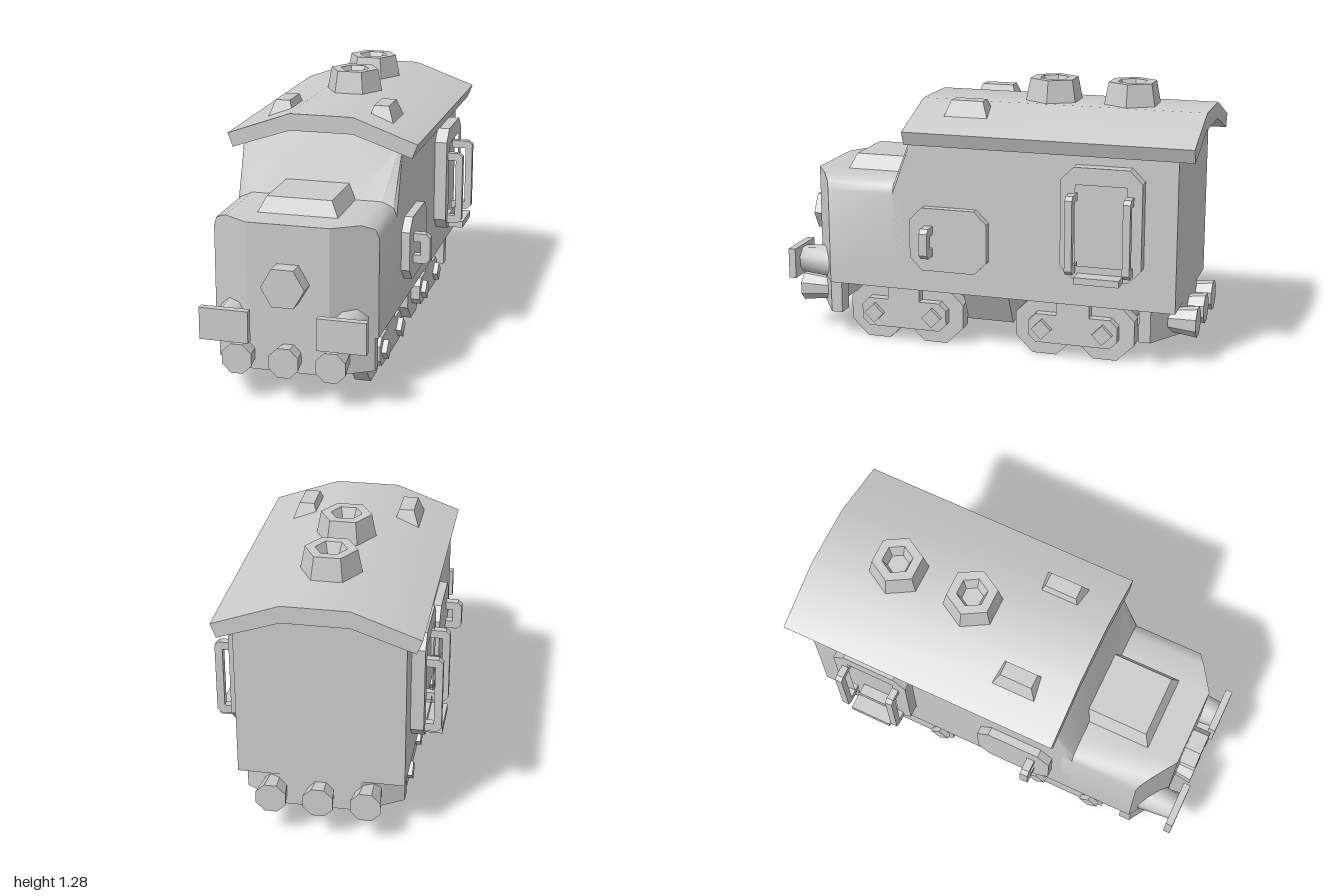
import * as THREE from 'three';
import { toCreasedNormals } from 'three/addons/utils/BufferGeometryUtils.js';

const grey = new THREE.MeshStandardMaterial({ color: 0xcccccc });
const greyDouble = new THREE.MeshStandardMaterial({ color: 0xcccccc, side: THREE.DoubleSide });

export function createModel() {
  const model = new THREE.Group();

  const add = (name, geo, x = 0, y = 0, z = 0, crease = 0.3, mat = grey) => {
    const mesh = new THREE.Mesh(toCreasedNormals(geo, crease), mat);
    mesh.name = name;
    mesh.position.set(x, y, z);
    model.add(mesh);
    return mesh;
  };
  const shapeOf = (pts) => new THREE.Shape(pts.map(([a, b]) => new THREE.Vector2(a, b)));
  const extrude = (shape, depth) =>
    new THREE.ExtrudeGeometry(shape, { depth, bevelEnabled: false, curveSegments: 10 });
  // Outline in (x, y), pushed from z0 to z1
  const alongZ = (pts, z0, z1) => extrude(shapeOf(pts), z1 - z0).translate(0, 0, z0);
  // Outline in (z, y), pushed along x on the side s
  const alongX = (pts, x0, x1, s, hole) => {
    const flip = (list) => list.map(([z, y]) => [-z, y]);
    const shape = shapeOf(flip(pts));
    if (hole) shape.holes.push(shapeOf(flip(hole)));
    return extrude(shape, x1 - x0).rotateY(Math.PI / 2).translate(s > 0 ? x0 : -x1, 0, 0);
  };
  // Rectangle with cut corners
  const cutRect = (a0, a1, b0, b1, c) => [
    [a0 + c, b0], [a1 - c, b0], [a1, b0 + c], [a1, b1 - c],
    [a1 - c, b1], [a0 + c, b1], [a0, b1 - c], [a0, b0 + c]];
  const mirrorX = (half) => [...half, ...half.map(([x, y]) => [-x, y]).reverse()];
  // Box whose upper face differs from its lower: [x0, x1, z0, z1] each
  const frustum = (low, high, y0, y1) => {
    const geo = new THREE.BoxGeometry(1, 1, 1);
    const p = geo.attributes.position;
    for (let i = 0; i < p.count; i++) {
      const r = p.getY(i) > 0 ? high : low;
      p.setXYZ(i, r[p.getX(i) > 0 ? 1 : 0], p.getY(i) > 0 ? y1 : y0, r[p.getZ(i) > 0 ? 3 : 2]);
    }
    return geo;
  };
  // Drum along z
  const drumZ = (rFront, rBack, length, sides) =>
    new THREE.CylinderGeometry(rFront, rBack, length, sides)
      .rotateY(Math.PI / sides).rotateX(Math.PI / 2);

  // Cab
  add('cabLower', new THREE.BoxGeometry(0.76, 0.465, 1.37), 0, 0.5125, -0.235);
  add('cabUpper', alongZ(mirrorX([[0.38, 0.74], [0.38, 1.01], [0.36, 1.03], [0.15, 1.1]]), -0.92, 0.36));

  // Sloped cab front, blending the hood section into the cab section
  const lower = mirrorX([[0.38, 0.745], [0.365, 0.785], [0.31, 0.81], [0.15, 0.81]]);
  const upper = mirrorX([[0.38, 0.99], [0.377, 1.01], [0.36, 1.03], [0.15, 1.1]]);
  const verts = [], index = [];
  lower.forEach(([x, y], i) => verts.push(x, y, 0.45, upper[i][0], upper[i][1], 0.36));
  for (let i = 0; i < lower.length - 1; i++) {
    const a = i * 2;
    index.push(a, a + 1, a + 2, a + 1, a + 3, a + 2);
  }
  // Side cheeks closing the slope
  for (const [a, s] of [[0, 1], [14, -1]]) {
    verts.push(s * 0.38, 0.74, 0.36);
    const c = verts.length / 3 - 1;
    index.push(...(s > 0 ? [a, c, a + 1] : [a, a + 1, c]));
  }
  const slope = new THREE.BufferGeometry();
  slope.setAttribute('position', new THREE.Float32BufferAttribute(verts, 3));
  slope.setIndex(index);
  add('cabFrontSlope', slope, 0, 0, 0, 0.3, greyDouble);

  // Roof
  add('roof', alongZ([
    [0.43, 1.0], [0.455, 1.065], [0.15, 1.175], [-0.15, 1.175], [-0.455, 1.065],
    [-0.43, 1.0], [-0.15, 1.095], [0.15, 1.095]], -1, 0.37), 0, 0, 0, 0.5);

  // Hood: straight middle and two swept-back cheeks with rounded shoulders
  add('hoodCentre', new THREE.BoxGeometry(0.38, 0.53, 0.505), 0, 0.545, 0.6525);
  for (const s of [1, -1]) {
    const cheek = alongZ([
      [0.19, 0.28], [0.38, 0.28], [0.38, 0.745], [0.365, 0.785], [0.31, 0.81], [0.19, 0.81],
    ].map(([x, y]) => [x * s, y]), 0.4, 0.905);
    const p = cheek.attributes.position;
    for (let i = 0; i < p.count; i++)
      if (p.getZ(i) > 0.5) p.setZ(i, 0.905 - (Math.abs(p.getX(i)) - 0.19) * 0.66);
    add('hoodCheek', cheek, 0, 0, 0, 0.85);
  }
  add('hoodHatch', frustum([-0.19, 0.19, 0.4, 0.755], [-0.15, 0.15, 0.4, 0.72], 0.8, 0.88));
  add('headlamp', drumZ(0.1, 0.1, 0.1, 6), 0, 0.545, 0.935);

  // Chimneys
  const chimneyProfile = [[0.142, 1.16], [0.118, 1.28], [0.072, 1.28], [0.05, 1.225], [0, 1.225]]
    .map(([r, y]) => new THREE.Vector2(r, y));
  for (const z of [-0.24, -0.62])
    add('chimney', new THREE.LatheGeometry(chimneyProfile, 6).rotateY(Math.PI / 6), 0, 0, z);

  // Bumper beams and marker lamps at both ends
  const beamHalf = [[0.365, 0.73], [0.365, 0.785], [0.18, 0.9]];
  const beamInner = [[-0.28, 0.73], [-0.13, 0.8], [0.13, 0.8], [0.28, 0.73]];
  for (const e of [1, -1]) {
    const reach = e > 0 ? 0 : 0.02;
    const outline = [...mirrorX(beamHalf), ...beamInner].map(([x, z]) => [x, -e * (z + reach)]);
    add('bumperBeam', extrude(shapeOf(outline), 0.155).rotateX(-Math.PI / 2), 0, 0.125, 0);
    for (const x of [-0.215, 0, 0.215]) {
      const lamp = add('markerLamp', drumZ(0.074, 0.055, 0.14, 8), x, 0.2, e * (0.915 + reach * 0.75));
      if (e < 0) lamp.rotation.y = Math.PI;
    }
  }

  // Tank between the bogies
  add('underTank', frustum([-0.28, 0.28, -0.12, 0.105], [-0.365, 0.365, -0.12, 0.105], 0.13, 0.29));

  // Parts on both sides
  for (const s of [1, -1]) {
    const vx = (a, b) => (s > 0 ? [a, b] : [-b, -a]);
    add('roofVent', frustum([...vx(0.175, 0.31), -0.005, 0.22], [...vx(0.205, 0.275), 0.03, 0.185], 1.1, 1.195));

    add('bumperPlate', new THREE.BoxGeometry(0.225, 0.148, 0.035), s * 0.268, 0.357, 0.9825);
    add('bumperStem', drumZ(0.066, 0.085, 0.2, 8), s * 0.265, 0.355, 0.87, 0.9);

    // Side hatch with grab handle
    add('sideHatch', alongX(cutRect(-0.03, 0.35, 0.395, 0.7, 0.06), 0.37, 0.42, s));
    add('hatchHandle', alongZ([
      [0.41, 0.47], [0.48, 0.47], [0.5, 0.49], [0.5, 0.595], [0.48, 0.615], [0.41, 0.615],
      [0.41, 0.575], [0.455, 0.575], [0.455, 0.51], [0.41, 0.51],
    ].map(([x, y]) => [x * s, y]), 0.235, 0.275));

    // Door frame with rails and step
    add('doorFrame', alongX(cutRect(-0.77, -0.39, 0.425, 0.95, 0.06), 0.37, 0.44, s,
      [[-0.7, 0.49], [-0.46, 0.49], [-0.46, 0.87], [-0.7, 0.87]]));
    for (const z of [-0.447, -0.715])
      add('doorRail', alongZ([
        [0.41, 0.46], [0.495, 0.46], [0.515, 0.48], [0.515, 0.81], [0.495, 0.828], [0.41, 0.828],
        [0.41, 0.79], [0.48, 0.79], [0.48, 0.5], [0.41, 0.5],
      ].map(([x, y]) => [x * s, y]), z - 0.017, z + 0.017));
    add('doorStep', new THREE.BoxGeometry(0.14, 0.032, 0.21), s * 0.445, 0.44, -0.58);
  }

  // Bogies
  for (const zc of [0.413, -0.43]) {
    const a = 0.147;
    // Rounded body between the wheels
    const body = new THREE.Shape();
    body.absarc(a, 0.14, 0.085, -Math.PI / 2, Math.PI / 2, false);
    body.absarc(-a, 0.14, 0.085, Math.PI / 2, Math.PI * 1.5, false);
    add('bogieBody', extrude(body, 0.6).rotateY(Math.PI / 2), -0.3, 0, zc, 0.6);
    add('bogiePivot', new THREE.BoxGeometry(0.5, 0.12, 0.155), 0, 0.23, zc);
    for (const s of [1, -1]) {
      add('bogieFrame', alongX([
        [-0.18, 0.07], [0.18, 0.07], [0.215, 0.105], [0.215, 0.175], [0.18, 0.21], [0.08, 0.21],
        [0.08, 0.285], [-0.08, 0.285], [-0.08, 0.21], [-0.18, 0.21], [-0.215, 0.175], [-0.215, 0.105],
      ], 0.29, 0.35, s), 0, 0, zc);
      for (const dz of [a, -a]) {
        add('wheel', new THREE.CylinderGeometry(0.152, 0.152, 0.075, 8)
          .rotateY(Math.PI / 8).rotateZ(Math.PI / 2), s * 0.267, 0.14, zc + dz);
        add('axleCap', new THREE.CylinderGeometry(0.048, 0.048, 0.06, 4)
          .rotateZ(Math.PI / 2), s * 0.345, 0.14, zc + dz);
      }
    }
  }
  return model;
}
